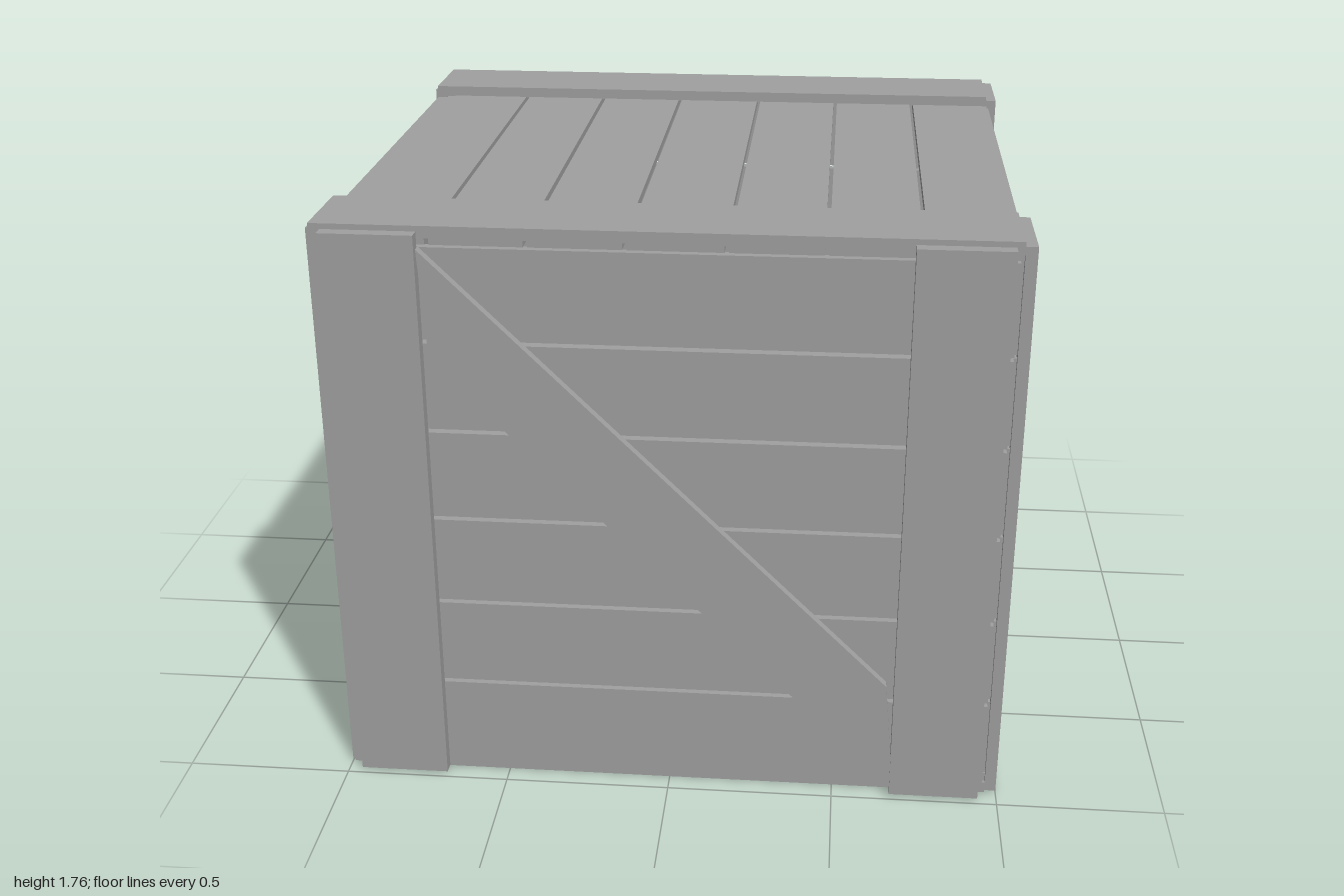
import * as THREE from 'three';

const wood = new THREE.MeshStandardMaterial({ color: 0xa0a0a0 });
wood.name = 'plain wood';

// Box given by its extents along each axis
function board(parent, name, [x0, x1], [y0, y1], [z0, z1]) {
  const geo = new THREE.BoxGeometry(x1 - x0, y1 - y0, z1 - z0);
  geo.translate((x0 + x1) / 2, (y0 + y1) / 2, (z0 + z1) / 2);
  const mesh = new THREE.Mesh(geo, wood);
  mesh.name = name;
  parent.add(mesh);
}

function panel(parent, name) {
  const g = new THREE.Group();
  g.name = name;
  parent.add(g);
  return g;
}

// Ranges of the slats lying between a list of seams
function slatRanges(start, seams, end, gap) {
  const marks = [start - gap / 2, ...seams, end + gap / 2];
  return marks.slice(1).map((m, i) => [marks[i] + gap / 2, m - gap / 2]);
}

export function createModel() {
  const crate = new THREE.Group();
  crate.name = 'crate';

  const wallSeams = [0.32, 0.597, 0.875, 1.155, 1.43];
  const lidSeams = [-0.665, -0.39, -0.115, 0.165, 0.437, 0.705];
  const zPosts = [[0.675, 0.94], [-0.965, -0.695]];
  const xPosts = [[-0.957, -0.688], [0.675, 0.942]];

  // Front and back walls: slats, corner posts and a diagonal brace
  const braceShape = new THREE.Shape([
    [-0.685, 1.71], [-0.665, 1.38], [0.677, 0.03], [0.677, 0.11], [0.652, 0.385],
  ].map(([x, y]) => new THREE.Vector2(x, y)));
  const walls = [
    { name: 'front', slat: [0.922, 0.951], post: [0.95, 0.988], brace: 0.945 },
    { name: 'back', slat: [-0.971, -0.942], post: [-1.0, -0.97], brace: -0.985 },
  ];
  for (const w of walls) {
    const g = panel(crate, w.name + 'Wall');
    for (const y of slatRanges(0.036, wallSeams, 1.708, 0.012)) {
      board(g, 'wallSlat', [-0.96, 0.956], y, w.slat);
    }
    for (const x of xPosts) board(g, 'cornerPost', x, [0.01, 1.752], w.post);
    const brace = new THREE.Mesh(
      new THREE.ExtrudeGeometry(braceShape, { depth: 0.035, bevelEnabled: false }), wood);
    brace.name = 'diagonalBrace';
    brace.position.z = w.brace;
    g.add(brace);
  }

  // Left and right walls
  const sides = [
    { name: 'left', slat: [0.94, 0.975], post: [0.966, 1.0] },
    { name: 'right', slat: [-0.993, -0.932], post: [-1.0, -0.962] },
  ];
  for (const s of sides) {
    const g = panel(crate, s.name + 'Wall');
    for (const y of slatRanges(0.036, wallSeams, 1.725, 0.01)) {
      board(g, 'sideSlat', s.slat, y, [-0.945, 0.925]);
    }
    for (const z of zPosts) board(g, 'sidePost', s.post, [0.008, 1.752], z);
  }

  // Lid and floor: slats running front to back under two battens
  const decks = [
    { name: 'lid', slat: [1.708, 1.732], batten: [1.73, 1.765] },
    { name: 'floor', slat: [0.034, 0.064], batten: [0, 0.036] },
  ];
  for (const d of decks) {
    const g = panel(crate, d.name);
    for (const x of slatRanges(-0.93, lidSeams, 0.968, 0.012)) {
      board(g, d.name + 'Slat', x, d.slat, [-0.95, 0.93]);
    }
    for (const z of zPosts) board(g, d.name + 'Batten', [-0.993, 0.966], d.batten, z);
  }

  return crate;
}
